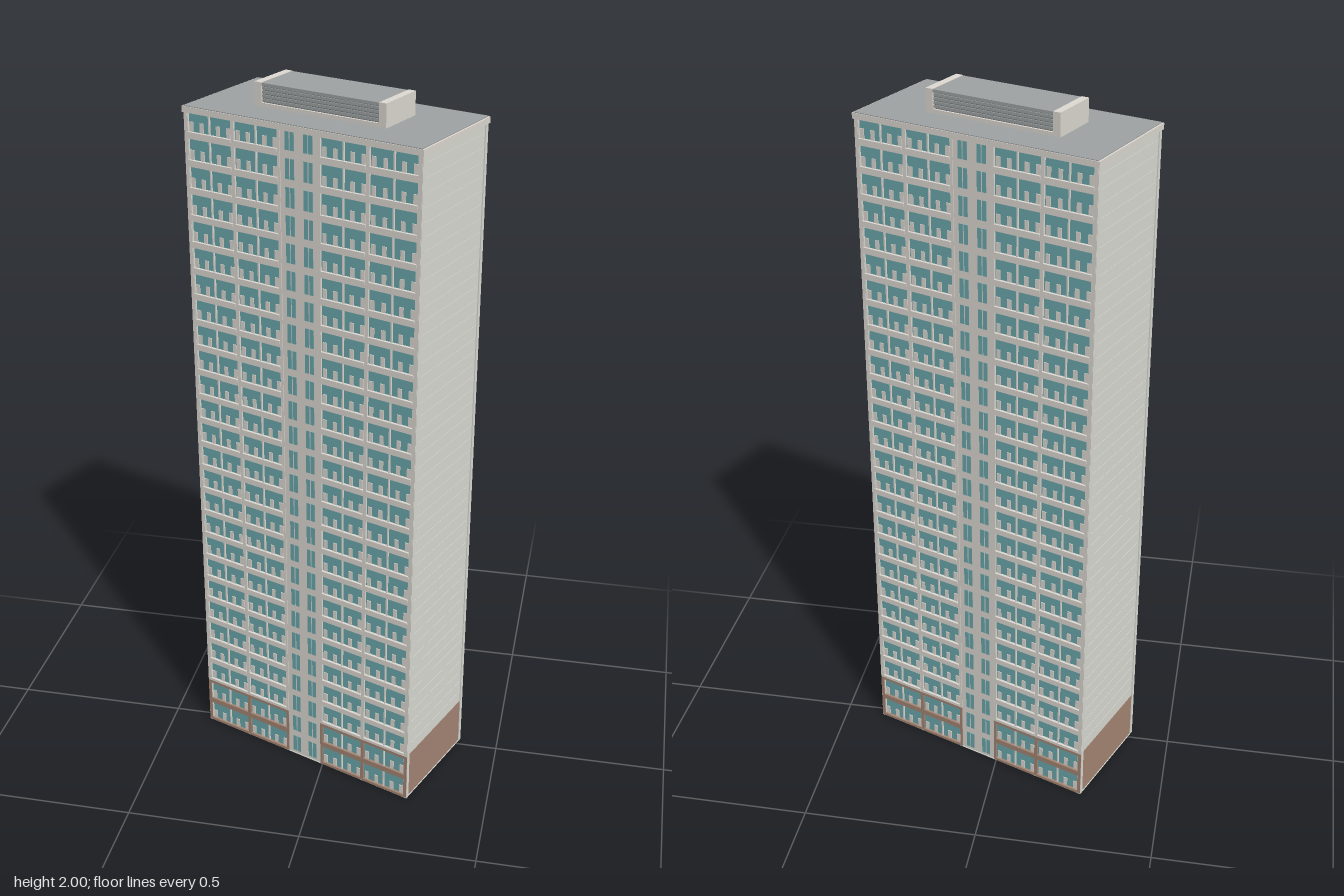
import * as THREE from 'three';
import { mergeGeometries } from 'three/addons/utils/BufferGeometryUtils.js';

const mat = (name, color) => Object.assign(new THREE.MeshStandardMaterial({ color }), { name });

const FLOORS = 26, TOP = 1.92, STEP = 0.0744;
const HALF_W = 0.353, HALF_D = 0.165;   // plan half sizes
const BASE_FLOORS = 2, BASE_H = BASE_FLOORS * STEP;

export function createModel() {
  const M = {
    concrete: mat('pale concrete', 0xe0dbd4),
    endWall: mat('light grey wall', 0xddded7),
    glass: mat('teal glass', 0x6caab0),
    brown: mat('brown cladding', 0xa68775),
    roof: mat('roof grey', 0xa0a4a4),
    louvre: mat('louvre grey', 0x7c7f7f),
  };

  // Collects boxes by part name and merges each part into one mesh
  const collector = () => {
    const parts = new Map();
    return {
      box(name, material, x0, x1, y0, y1, z0, z1) {
        const g = new THREE.BoxGeometry(x1 - x0, y1 - y0, z1 - z0);
        g.translate((x0 + x1) / 2, (y0 + y1) / 2, (z0 + z1) / 2);
        if (!parts.has(name)) parts.set(name, { material, list: [] });
        parts.get(name).list.push(g);
      },
      build(groupName) {
        const group = new THREE.Group();
        group.name = groupName;
        for (const [name, { material, list }] of parts) {
          const mesh = new THREE.Mesh(mergeGeometries(list), material);
          mesh.name = name;
          group.add(mesh);
        }
        return group;
      },
    };
  };

  // Long facade, facing +z
  const makeFacade = () => {
    const c = collector();
    const back = 0.155, face = HALF_D, pane = 0.159;
    const bays = [[-0.342, -0.206], [-0.196, -0.064], [0.064, 0.196], [0.206, 0.342]];

    // Piers between bays, brown at the base
    for (const [a, b] of [[-0.352, -0.342], [-0.206, -0.196], [-0.064, -0.056],
      [0.056, 0.064], [0.196, 0.206], [0.342, 0.352]]) {
      c.box('basePiers', M.brown, a, b, 0.002, BASE_H, back, face);
      c.box('piers', M.concrete, a, b, BASE_H, TOP, back, face);
    }
    // Stair core strip in the middle
    c.box('stairStrip', M.concrete, -0.056, 0.056, 0.002, TOP, back, face - 0.002);

    for (let f = 0; f < FLOORS; f++) {
      const y = f * STEP, low = f < BASE_FLOORS;
      const bandName = low ? 'baseBands' : 'floorBands';
      const bandMat = low ? M.brown : M.concrete;
      const sill = y + 0.01, head = Math.min(y + 0.066, TOP);
      for (const [a, b] of bays) {
        const mid = (a + b) / 2, w = b - a;
        c.box('windows', M.glass, a, b, sill, head, back, pane);
        // Floor bands
        c.box(bandName, bandMat, a, b, y + 0.002, sill, back, face + 0.002);
        if (head < TOP) c.box(bandName, bandMat, a, b, head, y + STEP + 0.002, back, face);
        // Balcony divider and pale lower panels
        c.box('dividers', M.concrete, mid - 0.002, mid + 0.002, sill, head, back, face - 0.001);
        for (const t of [0.07, 0.31, 0.69, 0.93])
          c.box('lowerPanels', M.concrete, a + w * t - 0.006, a + w * t + 0.006,
            sill, sill + 0.026, back, pane + 0.002);
      }
      // Two narrow paired windows per floor in the stair strip
      for (const s of [-1, 1]) {
        for (const o of [0.02, 0.035])
          c.box('stairWindows', M.glass, s * o - 0.006, s * o + 0.006,
            y + 0.011, y + 0.064, face - 0.004, face - 0.001);
      }
    }
    return c.build('facade');
  };

  // Short end wall, facing +x
  const makeEnd = () => {
    const c = collector();
    const x = HALF_W - 0.003;
    c.box('endPanel', M.endWall, 0.34, x, BASE_H, TOP, -0.152, 0.152);
    c.box('endBase', M.brown, 0.34, x + 0.001, 0.002, BASE_H, -0.152, 0.152);
    for (const s of [-1, 1]) {
      const z = [s * 0.152, s * (HALF_D - 0.001)].sort((a, b) => a - b);
      c.box('cornerPosts', M.endWall, 0.34, HALF_W, 0.002, TOP, z[0], z[1]);
    }
    // Fine raised panel joints, two per floor
    for (let y = BASE_H + STEP / 2; y < TOP - 0.01; y += STEP / 2)
      c.box('panelJoints', M.endWall, x - 0.002, x + 0.001, y - 0.0006, y + 0.0006, -0.145, 0.145);
    return c.build('endWall');
  };

  const model = new THREE.Group();
  model.name = 'towerBlock';
  const tower = new THREE.Group();
  tower.name = 'tower';
  tower.rotation.y = -0.368;
  model.add(tower);

  // Core, base plate and roof
  const c = collector();
  c.box('core', M.endWall, -0.345, 0.345, 0.002, TOP, -0.156, 0.156);
  c.box('basePlate', M.endWall, -HALF_W, HALF_W, 0, 0.002, -HALF_D, HALF_D);
  c.box('roofEdge', M.concrete, -0.356, 0.356, TOP, 1.936, -0.168, 0.168);
  c.box('roofSlab', M.roof, -0.351, 0.351, 1.93, 1.938, -0.166, 0.166);
  for (const s of [-1, 1]) {
    const span = (lo, hi) => [s * lo, s * hi].sort((a, b) => a - b);
    // Rooftop plant room: end walls and louvred long sides
    c.box('plantEnds', M.concrete, ...span(0.174, 0.195), 1.937, 2.0, -0.071, 0.071);
    c.box('plantSills', M.concrete, -0.174, 0.174, 1.937, 1.948, ...span(0.06, 0.07));
    for (let i = 0; i < 4; i++)
      c.box('louvres', M.roof, -0.174, 0.174, 1.951 + i * 0.01, 1.958 + i * 0.01, ...span(0.06, 0.067));
  }
  c.box('plantCore', M.louvre, -0.174, 0.174, 1.937, 1.992, -0.064, 0.064);
  c.box('plantRoof', M.roof, -0.174, 0.174, 1.991, 1.999, -0.07, 0.07);
  tower.add(c.build('structure'));

  // Matching facades and ends on opposite sides
  for (const turn of [0, Math.PI]) {
    for (const part of [makeFacade(), makeEnd()]) {
      part.rotation.y = turn;
      tower.add(part);
    }
  }
  return model;
}
